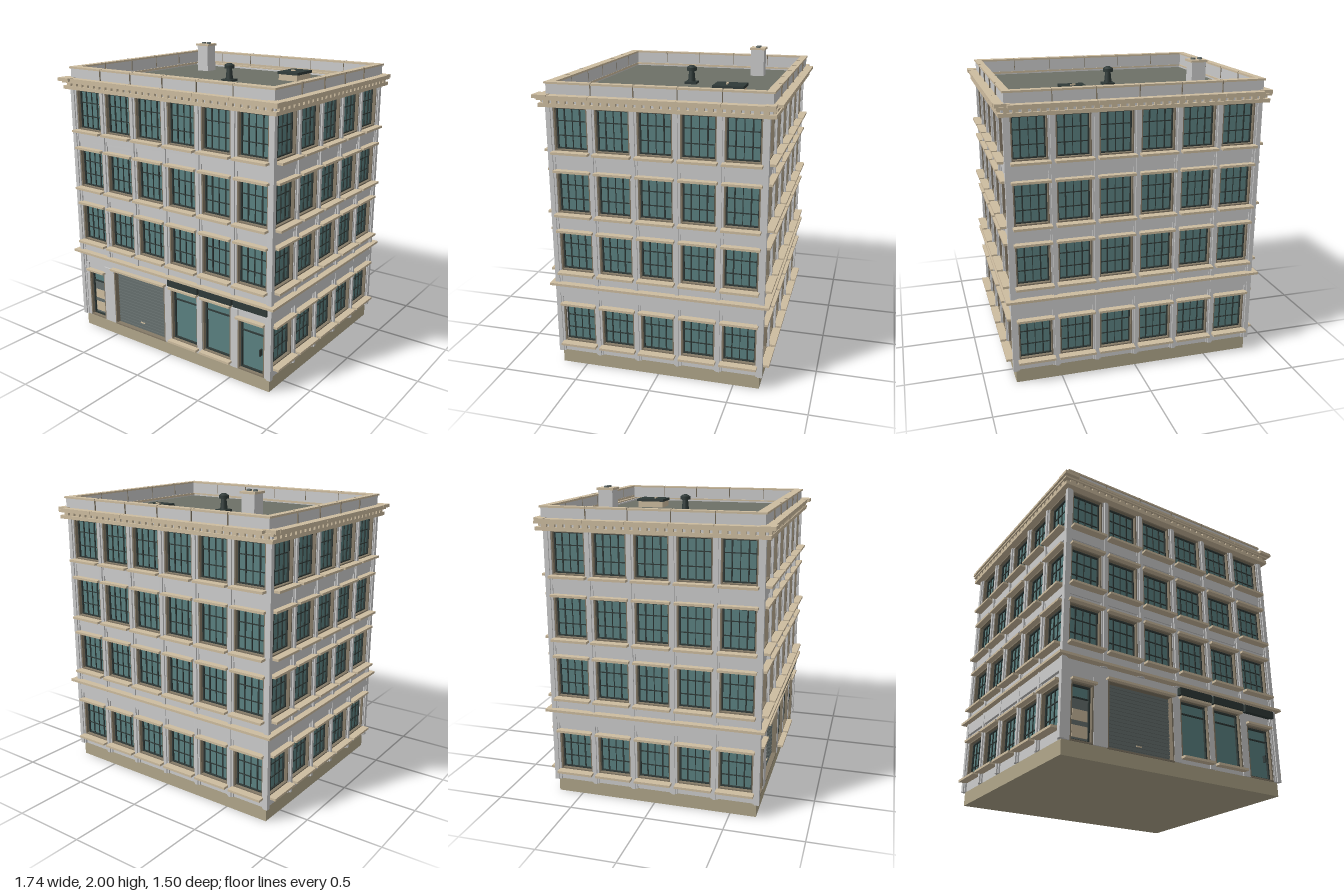
import * as THREE from 'three';
import { mergeGeometries } from 'three/addons/utils/BufferGeometryUtils.js';

const colours = {
  wall: 0xcccccc, trim: 0xcdbc9f, plinth: 0xb0a68a, glass: 0x5a8080,
  dark: 0x2f3a38, roof: 0x6d7067, shutter: 0x66706e, surround: 0x857a67,
};
const BAY = 1.6 / 6;
const HX = 0.8, HZ = BAY * 2.5;                 // wall planes
const ROWS = [[0.165, 0.435], [0.675, 0.945], [1.07, 1.34], [1.475, 1.75]];
const RECESS = 0.035;                           // depth of the window openings

export function createModel() {
  const model = new THREE.Group();
  const materials = {};
  for (const key in colours) {
    materials[key] = new THREE.MeshStandardMaterial({ color: colours[key] });
  }

  // A collector gathers the pieces of each named part and merges them
  function collector(groupName, rotation = 0) {
    const parts = new Map();
    const add = (name, mat, geometry) => {
      if (!parts.has(name)) parts.set(name, { mat, list: [] });
      parts.get(name).list.push(geometry);
    };
    const box = (name, mat, x0, x1, y0, y1, z0, z1) => add(name, mat,
      new THREE.BoxGeometry(x1 - x0, y1 - y0, z1 - z0)
        .translate((x0 + x1) / 2, (y0 + y1) / 2, (z0 + z1) / 2));
    const finish = () => {
      const group = new THREE.Group();
      group.name = groupName;
      group.rotation.y = rotation;
      for (const [name, { mat, list }] of parts) {
        const mesh = new THREE.Mesh(mergeGeometries(list), materials[mat]);
        mesh.name = name;
        group.add(mesh);
      }
      model.add(group);
    };
    return { add, box, finish };
  }

  // Surround with four members around an opening
  function border(box, name, mat, x0, x1, y0, y1, z0, z1, t) {
    box(name, mat, x0, x0 + t, y0, y1, z0, z1);
    box(name, mat, x1 - t, x1, y0, y1, z0, z1);
    box(name, mat, x0 + t, x1 - t, y0, y0 + t, z0, z1);
    box(name, mat, x0 + t, x1 - t, y1 - t, y1, z0, z1);
  }

  // Multi-pane window with sill and lintel
  function paneWindow(box, cx, [y0, y1], d, lintel) {
    const back = d - RECESS, w = 0.11;
    box('windowGlass', 'glass', cx - w, cx + w, y0, y1, back - 0.005, back + 0.006);
    border(box, 'windowSurround', 'surround', cx - w, cx + w, y0, y1, back, d + 0.006, 0.009);
    border(box, 'windowFrame', 'dark', cx - w + 0.009, cx + w - 0.009, y0 + 0.009, y1 - 0.009,
      back, back + 0.018, 0.008);
    for (let i = 1; i < 4; i++) {
      const x = cx - 0.1 + i * 0.05, t = i === 2 ? 0.002 : 0.004;
      box('windowBars', 'dark', x - t, x + t, y0, y1, back, back + 0.013);
    }
    for (let j = 1; j < 3; j++) {
      const y = y0 + (y1 - y0) * j / 3;
      box('windowBars', 'dark', cx - w, cx + w, y - 0.003, y + 0.003, back, back + 0.012);
    }
    box('windowSills', 'trim', cx - 0.12, cx + 0.12, y0 - 0.014, y0 + 0.001, back, d + 0.058);
    if (lintel) box('windowLintels', 'trim', cx - 0.12, cx + 0.12, y1, y1 + 0.015, back, d + 0.042);
  }

  // Shop front: two doors, a roller shutter and two display windows
  function shopFront(box, d) {
    const back = d - RECESS;
    const pane = (x0, x1, y0, y1) => {
      box('shopGlass', 'glass', x0, x1, y0, y1, back, back + 0.006);
      border(box, 'shopFrames', 'dark', x0, x1, y0, y1, back, back + 0.02, 0.01);
      border(box, 'shopSurrounds', 'surround', x0 - 0.01, x1 + 0.01, y0 - 0.01, y1 + 0.01, back, d + 0.006, 0.01);
      box('shopFrames', 'dark', x0, x1, y1 - 0.08, y1 - 0.072, back, back + 0.016);
    };
    const lintel = (x0, x1, y) => box('shopLintels', 'trim', x0, x1, y, y + 0.014, back, d + 0.035);
    // Wall piers and the heads above the openings
    for (const [x0, x1] of [[-0.79, -0.75], [-0.6, -0.505], [-0.035, 0.02], [0.24, 0.28], [0.51, 0.565], [0.766, 0.79]]) {
      box('shopPiers', 'wall', x0, x1, 0.09, 0.5, back, d + 0.008);
    }
    for (const [x0, x1] of [[-0.75, -0.6], [0.565, 0.766]]) {
      box('shopHeads', 'wall', x0, x1, 0.445, 0.5, back, d);
    }
    box('shopHeads', 'wall', -0.79, 0.79, 0.5, 0.575, back, d);
    // Display windows
    for (const x of [0.03, 0.295]) {
      pane(x, x + 0.205, 0.135, 0.495);
      box('shopStallRisers', 'wall', x - 0.01, x + 0.215, 0.09, 0.125, back, d);
      box('shopSills', 'trim', x - 0.015, x + 0.225, 0.115, 0.13, back, d + 0.045);
      lintel(x - 0.015, x + 0.22, 0.5);
    }
    // Glazed door and panelled door
    pane(0.575, 0.756, 0.1, 0.435);
    lintel(0.56, 0.77, 0.445);
    box('doorHandle', 'dark', 0.72, 0.728, 0.22, 0.265, back, back + 0.03);
    pane(-0.74, -0.61, 0.1, 0.435);
    lintel(-0.755, -0.59, 0.445);
    box('doorLeaf', 'shutter', -0.73, -0.62, 0.1, 0.36, back, back + 0.009);
    for (const [y0, y1] of [[0.125, 0.195], [0.225, 0.29]]) {
      box('doorPanels', 'trim', -0.722, -0.622, y0, y1, back, back + 0.014);
    }
    // Roller shutter with slats
    for (let i = 0; i < 18; i++) {
      const y = 0.09 + i * 0.0225;
      box('rollerShutter', 'shutter', -0.495, -0.045, y, y + 0.0225, back, back + 0.003);
      box('rollerShutter', 'shutter', -0.495, -0.045, y + 0.003, y + 0.0195, back, back + 0.009);
    }
    border(box, 'shutterFrame', 'surround', -0.505, -0.035, 0.085, 0.505, back, d + 0.006, 0.01);
    box('shutterHandle', 'trim', -0.29, -0.25, 0.143, 0.15, back, back + 0.014);
    lintel(-0.515, -0.025, 0.5);
    // Dark boxes above the shop windows
    for (let i = 0; i < 3; i++) {
      const x = 0.01 + i * BAY;
      box('fasciaBoxes', 'dark', x, x + 0.25, 0.522, 0.57, d, d + 0.032);
    }
  }

  // One elevation, built facing +z and turned into place
  function facade(name, bays, d, rotation, isFront) {
    const { box, finish } = collector(name, rotation);
    const half = bays * BAY / 2, back = d - RECESS, edge = half - 0.01;
    for (let i = 0; i < bays; i++) {
      const cx = (i + 0.5) * BAY - half;
      ROWS.forEach((row, r) => {
        if (r > 0 || !isFront) paneWindow(box, cx, row, d, r < 3);
      });
    }
    // Spandrels between the storeys, with a raised lower band
    const bands = [[0.575, 0.675], [0.945, 1.07], [1.34, 1.475]];
    if (!isFront) bands.push([0.09, 0.165], [0.435, 0.575]);
    for (const [y0, y1] of bands) box('spandrels', 'wall', -edge, edge, y0, y1, back, d);
    for (const [y0, y1] of [[0.595, 0.66], [1.0, 1.055], [1.39, 1.46]]) {
      box('spandrelBands', 'wall', -edge, edge, y0, y1, back, d + 0.008);
    }
    if (!isFront) box('storeyBand', 'wall', -half, half, 0.495, 0.575, back, d + 0.018);
    // Stepped piers between the bays
    const bottom = isFront ? 0.575 : 0.09;
    for (let i = 1; i < bays; i++) {
      const x = i * BAY - half;
      box('piers', 'wall', x - 0.0235, x + 0.0235, bottom, 1.76, back, d + 0.01);
      box('pierStrips', 'wall', x - 0.011, x + 0.011, bottom, 1.76, d, d + 0.02);
    }
    // Cornice dentils
    const count = Math.round(half * 2 / 0.0533);
    for (let i = 0; i <= count; i++) {
      const x = -half + i * half * 2 / count;
      box('corniceDentils', 'trim', x - 0.017, x + 0.017, 1.775, 1.795, d, d + 0.05);
    }
    if (isFront) shopFront(box, d);
    finish();
  }
  facade('frontFacade', 6, HZ, 0, true);
  facade('backFacade', 6, HZ, Math.PI, false);
  facade('leftFacade', 5, HX, Math.PI / 2, false);
  facade('rightFacade', 5, HX, -Math.PI / 2, false);

  // Core, plinth, corner posts and belt course
  const shell = collector('shell');
  const { box } = shell;
  box('plinth', 'plinth', -HX, HX, 0, 0.09, -HZ, HZ);
  box('core', 'wall', -HX + RECESS, HX - RECESS, 0.09, 1.78, -HZ + RECESS, HZ - RECESS);
  for (const sx of [-1, 1]) for (const sz of [-1, 1]) {
    const span = (s, a, b) => (s > 0 ? [a, b] : [-b, -a]);
    box('cornerPosts', 'wall', ...span(sx, 0.777, HX + 0.012), 0.09, 1.76, ...span(sz, 0.644, HZ + 0.012));
    box('cornerStrips', 'wall', ...span(sx, 0.79, HX + 0.02), 0.09, 1.76, ...span(sz, 0.657, HZ + 0.02));
  }
  // Rectangular ring made of four runs
  const ring = (name, mat, y0, y1, ox, front, rear, ix, inFront, inRear) => {
    box(name, mat, -ox, ox, y0, y1, inFront, front);
    box(name, mat, -ox, ox, y0, y1, -rear, -inRear);
    box(name, mat, -ox, -ix, y0, y1, -inRear, inFront);
    box(name, mat, ix, ox, y0, y1, -inRear, inFront);
  };
  ring('beltCourse', 'trim', 0.578, 0.594, 0.85, 0.715, 0.72, 0.77, 0.64, 0.64);
  ring('corniceBed', 'trim', 1.752, 1.775, 0.85, 0.72, 0.725, 0.77, 0.63, 0.63);
  ring('corniceFrieze', 'wall', 1.775, 1.8, 0.83, 0.7, 0.7, 0.77, 0.63, 0.63);
  ring('corniceStep', 'trim', 1.795, 1.81, 0.858, 0.725, 0.73, 0.77, 0.63, 0.64);
  // Cornice top slab, laid in bay-long stones with corner blocks
  for (let i = 0; i < 6; i++) {
    const x = -HX + i * BAY;
    box('corniceTop', 'trim', x, x + BAY - 0.002, 1.808, 1.826, 0.66, 0.73);
    box('corniceTop', 'trim', x, x + BAY - 0.002, 1.808, 1.826, -0.755, -0.66);
  }
  for (const s of [-1, 1]) {
    for (let i = 0; i < 5; i++) {
      const z = -0.675 + i * BAY;
      box('corniceTop', 'trim', s * 0.835 - 0.035, s * 0.835 + 0.035, 1.808, 1.826, z, z + BAY - 0.002);
    }
    box('corniceCorners', 'trim', s * 0.822 - 0.05, s * 0.822 + 0.05, 1.807, 1.829, 0.655, 0.748);
    box('corniceCorners', 'trim', s * 0.822 - 0.045, s * 0.822 + 0.045, 1.807, 1.829, -0.722, -0.66);
  }
  // Parapet with coping and joints
  ring('parapet', 'wall', 1.78, 1.89, 0.812, 0.68, 0.7, 0.778, 0.632, 0.662);
  ring('coping', 'trim', 1.888, 1.9, 0.82, 0.688, 0.708, 0.774, 0.628, 0.658);
  for (let i = 1; i < 6; i++) {
    const x = -HX + i * BAY;
    box('parapetJoints', 'surround', x - 0.002, x + 0.002, 1.82, 1.9005, 0.63, 0.6885);
    box('parapetJoints', 'surround', x - 0.002, x + 0.002, 1.82, 1.9005, -0.7085, -0.66);
  }
  for (const s of [-1, 1]) for (let i = 1; i < 5; i++) {
    const z = -0.675 + i * BAY;
    box('parapetJoints', 'surround', s * 0.797 - 0.0235, s * 0.797 + 0.0235, 1.82, 1.9005, z - 0.002, z + 0.002);
  }
  box('roofDeck', 'roof', -0.78, 0.78, 1.77, 1.79, -0.665, 0.635);
  shell.finish();

  // Chimney, hatch and vent on the roof
  const top = collector('roofFittings');
  const round = (name, mat, r0, r1, y0, y1, x, z) => top.add(name, mat,
    new THREE.CylinderGeometry(r1, r0, y1 - y0, 16).translate(x, (y0 + y1) / 2, z));
  top.box('chimney', 'wall', -0.532, -0.438, 1.785, 1.978, -0.435, -0.341);
  top.box('chimneyCap', 'trim', -0.54, -0.43, 1.976, 1.99, -0.443, -0.333);
  for (const x of [-0.508, -0.462]) round('chimneyPots', 'shutter', 0.016, 0.016, 1.985, 2, x, -0.388);
  top.box('hatchCurb', 'trim', 0.247, 0.393, 1.785, 1.832, -0.443, -0.257);
  top.box('hatchLid', 'dark', 0.24, 0.4, 1.832, 1.85, -0.45, -0.25);
  top.box('hatchHandle', 'trim', 0.303, 0.337, 1.85, 1.858, -0.336, -0.324);
  top.box('ventBase', 'dark', -0.04, 0.04, 1.785, 1.805, -0.055, 0.025);
  round('ventNeck', 'dark', 0.026, 0.018, 1.805, 1.88, 0, -0.015);
  round('ventCap', 'dark', 0.034, 0.034, 1.878, 1.9, 0, -0.015);
  round('ventCap', 'dark', 0.034, 0.015, 1.9, 1.912, 0, -0.015);
  top.finish();
  return model;
}
